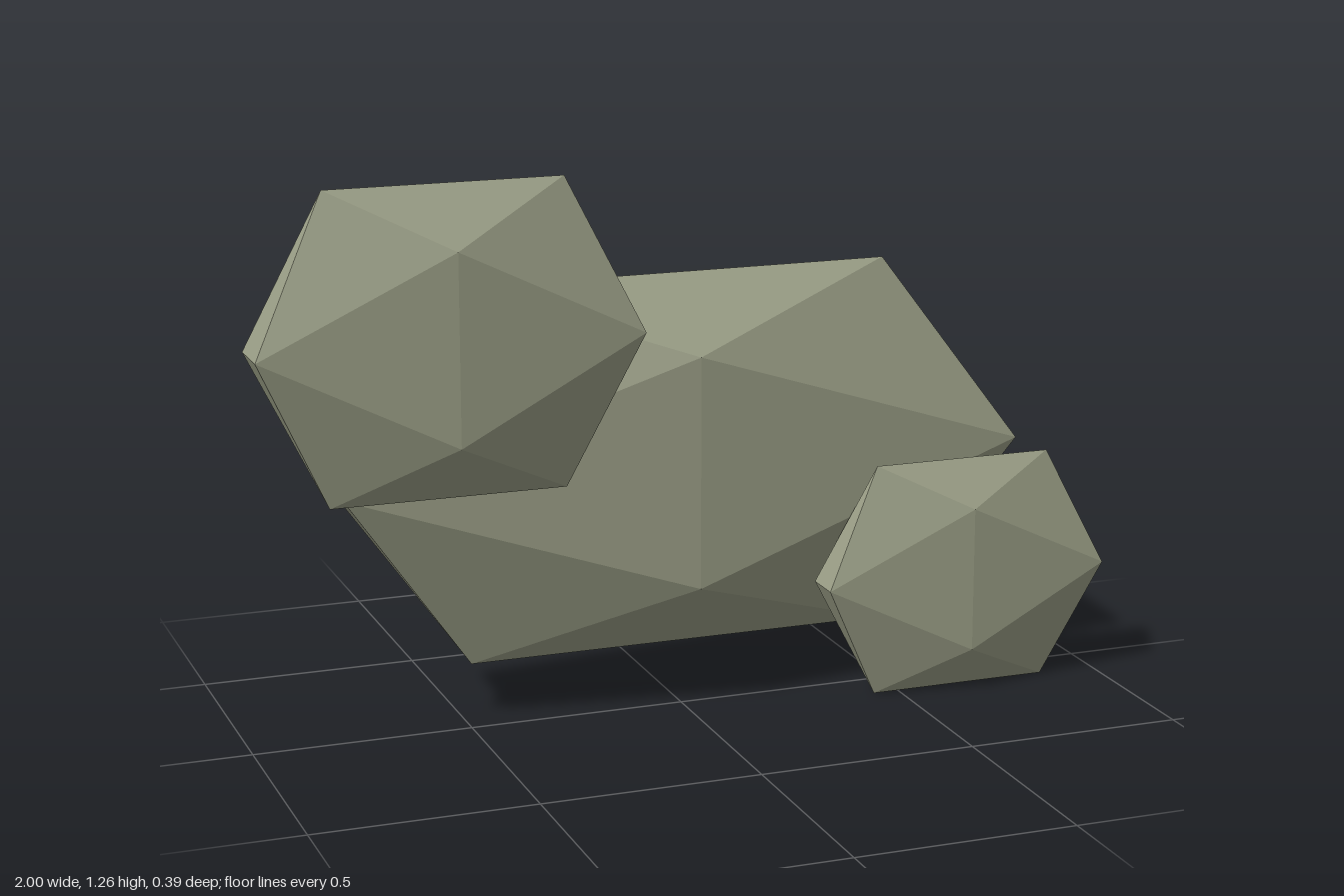
import * as THREE from 'three';

export function createModel() {
  const group = new THREE.Group();
  group.name = 'rockCluster';

  const stone = new THREE.MeshStandardMaterial({ color: 0x9a9e86, flatShading: true });
  stone.name = 'mossy grey stone';

  // Each rock is a flattened icosahedron, given by its centre and half extents
  const extent = 0.8507; // largest coordinate of a unit icosahedron
  function rock(name, centre, half) {
    const geometry = new THREE.IcosahedronGeometry(1, 0);
    geometry.scale(half[0] / extent, half[1] / extent, half[2] / extent);
    geometry.computeVertexNormals();
    const mesh = new THREE.Mesh(geometry, stone);
    mesh.name = name;
    mesh.position.set(...centre);
    group.add(mesh);
  }

  rock('mainRock', [0.012, 0.567, -0.049], [0.803, 0.432, 0.146]);
  rock('upperRock', [-0.569, 0.915, 0.098], [0.431, 0.345, 0.098]);
  rock('lowerRock', [0.653, 0.274, 0.098], [0.345, 0.272, 0.073]);

  return group;
}
